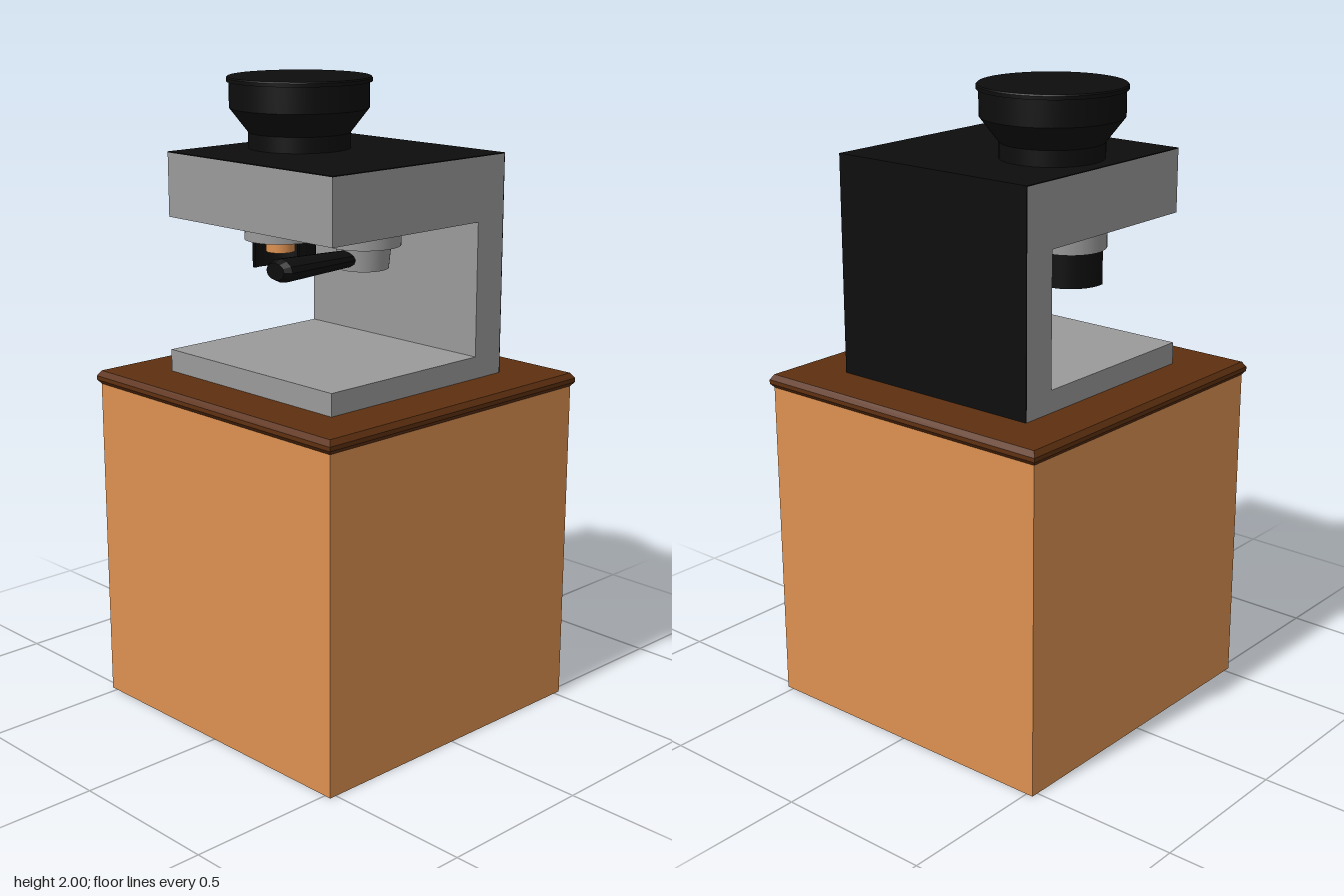
import * as THREE from 'three';

const mat = (color, side = THREE.FrontSide, flatShading = false) =>
  new THREE.MeshStandardMaterial({ color, side, flatShading });

export function createModel() {
  const model = new THREE.Group();
  const steel = mat(0x9a9a9a), black = mat(0x0d0d0d), orange = mat(0xdd9151);

  const add = (name, geometry, material, x = 0, y = 0, z = 0) => {
    const mesh = new THREE.Mesh(geometry, material);
    mesh.name = name;
    mesh.position.set(x, y, z);
    model.add(mesh);
    return mesh;
  };
  const box = (name, w, h, d, material, x, y, z) =>
    add(name, new THREE.BoxGeometry(w, h, d), material, x, y, z);
  // Upright cylinder or cone between two heights
  const drum = (name, rTop, rBottom, y0, y1, material, x, z) =>
    add(name, new THREE.CylinderGeometry(rTop, rBottom, y1 - y0, 40), material, x, (y0 + y1) / 2, z);

  // Cabinet
  box('cabinet', 1.046, 1.05, 1.046, orange, 0, 0.525, 0);

  // Worktop: square profile with chamfered edges, made as four-sided tapered rings
  const q = Math.SQRT2;
  const worktop = add('worktop', new THREE.LatheGeometry([
    [0, 1.046], [0.522, 1.046], [0.533, 1.06], [0.533, 1.073], [0.522, 1.09], [0, 1.09],
  ].map(([r, y]) => new THREE.Vector2(r * q, y)), 4, Math.PI / 4), mat(0x5e3010, THREE.FrontSide, true));
  worktop.geometry = worktop.geometry.toNonIndexed();
  worktop.geometry.computeVertexNormals();

  // C-shaped machine body, open toward -x
  const c = new THREE.Shape([
    [-0.365, 1.09], [0.362, 1.09], [0.362, 1.778], [-0.36, 1.778],
    [-0.36, 1.58], [0.25, 1.58], [0.25, 1.16], [-0.365, 1.16],
  ].map(([x, y]) => new THREE.Vector2(x, y)));
  add('machineBody', new THREE.ExtrudeGeometry(c, { depth: 0.728, bevelEnabled: false }), steel, 0, 0, -0.364);

  // Thin black cladding on the top and the outer side
  box('topPanel', 0.724, 0.003, 0.728, black, 0.002, 1.7795, 0);
  box('sidePanel', 0.003, 0.691, 0.728, black, 0.3635, 1.4355, 0);

  // Bean hopper with lid; doubled points keep the profile edges crisp
  const rings = [[0.16, 1.78], [0.16, 1.83], [0.218, 1.905], [0.218, 1.985], [0.226, 1.985], [0.226, 1.996], [0.222, 2], [0, 2]];
  const profile = rings.flatMap(([r, y]) => [new THREE.Vector2(r, y), new THREE.Vector2(r, y)]);
  add('beanHopper', new THREE.LatheGeometry(profile, 48), black, 0, 0, -0.16);

  // Grinder under the rear of the arm, with outlet and half-round guard
  const gx = -0.066, gz = -0.18;
  drum('grinderHead', 0.113, 0.113, 1.5, 1.58, steel, gx, gz);
  drum('grinderOutlet', 0.045, 0.045, 1.46, 1.5, orange, gx, gz);
  const wall = [[0.1, 1.395], [0.111, 1.395], [0.111, 1.5], [0.1, 1.5], [0.1, 1.395]]
    .flatMap(([r, y]) => [new THREE.Vector2(r, y), new THREE.Vector2(r, y)]);
  add('grinderGuard', new THREE.LatheGeometry(wall, 24, -0.19, Math.PI + 0.38),
    mat(0x0d0d0d, THREE.DoubleSide), gx, 0, gz);

  // Brew head, filter holder and handle under the front of the arm
  const bz = 0.19;
  drum('brewHead', 0.113, 0.113, 1.53, 1.58, steel, gx, bz);
  drum('filterHolder', 0.083, 0.076, 1.46, 1.53, steel, gx, bz);
  const grip = [[0, 0.1], [0.036, 0.1], [0.052, 0.385], [0.052, 0.4], [0.038, 0.42], [0, 0.42]]
    .map(([r, l]) => new THREE.Vector2(r, l));
  const handle = add('filterHandle', new THREE.LatheGeometry(grip, 12),
    mat(0x0d0d0d, THREE.FrontSide, true), 0, 1.496, bz);
  handle.rotation.z = Math.PI / 2;
  handle.scale.x = 0.66;

  return model;
}
